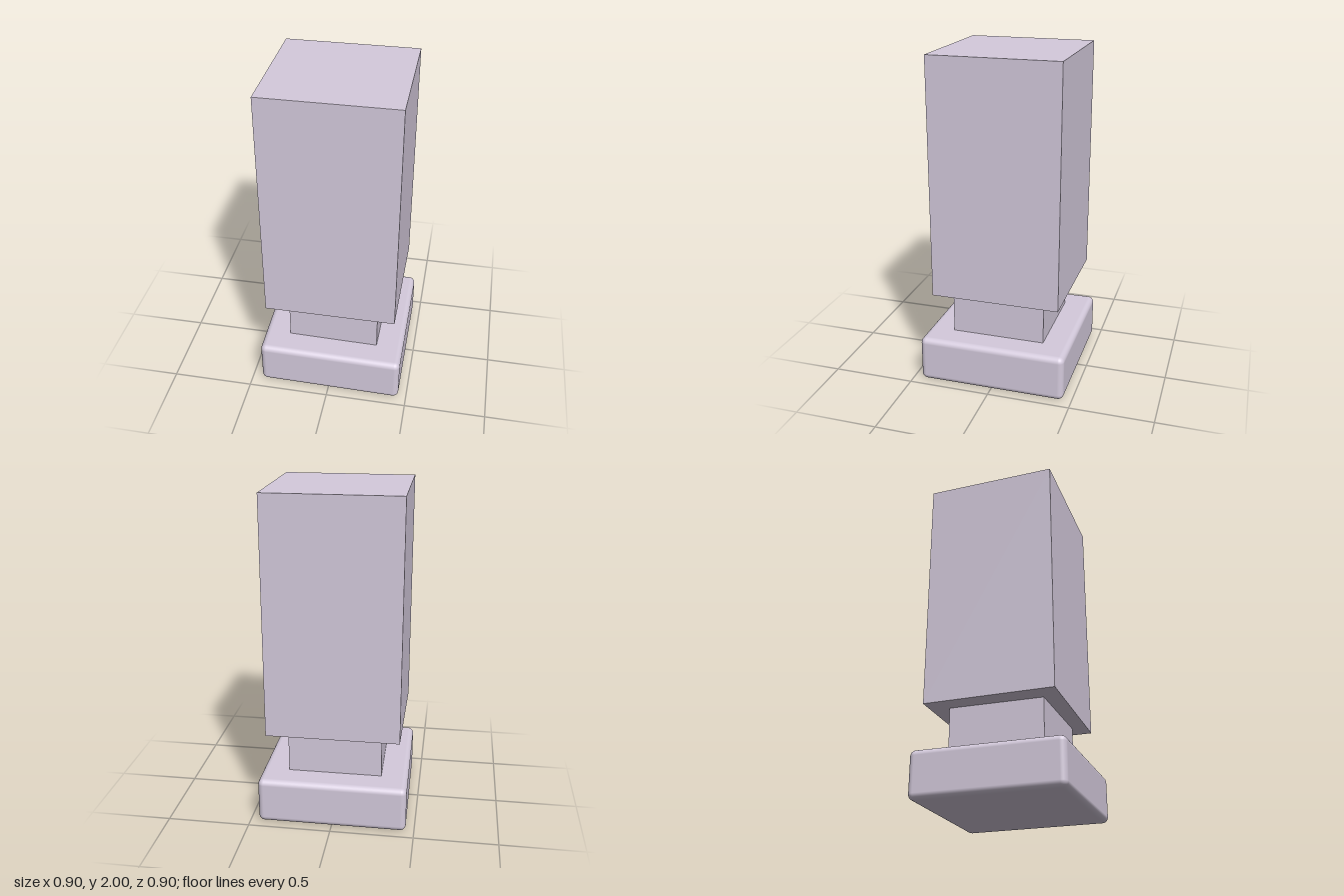
import * as THREE from 'three';
import { RoundedBoxGeometry } from 'three/addons/geometries/RoundedBoxGeometry.js';

// Pull the front corner on the -x side slightly inwards, fading to the other corners
function skewCorner(geometry, width, amount) {
  const p = geometry.attributes.position;
  for (let i = 0; i < p.count; i++) {
    const x = p.getX(i), z = p.getZ(i);
    const pull = amount * (0.5 - x / width) * (0.5 + z / width);
    p.setX(i, x + pull);
    p.setZ(i, z - pull);
  }
  return geometry;
}

export function createModel() {
  const group = new THREE.Group();
  group.name = 'pillar';
  const material = new THREE.MeshStandardMaterial({ color: 0xd4cadc });

  const add = (name, geometry, y, z = 0) => {
    const mesh = new THREE.Mesh(geometry, material);
    mesh.name = name;
    mesh.position.set(0, y, z);
    group.add(mesh);
  };

  // Soft-edged foot, slightly out of square
  add('base', skewCorner(new RoundedBoxGeometry(0.9, 0.28, 0.9, 4, 0.035), 0.9, 0.013), 0.14);

  // Narrow square neck between foot and block
  add('neck', skewCorner(new THREE.BoxGeometry(0.57, 0.28, 0.57), 0.57, 0.01), 0.42);

  // Tall block, a little shallower than wide
  add('block', new THREE.BoxGeometry(0.8, 1.44, 0.775), 1.28, -0.0125);

  return group;
}
